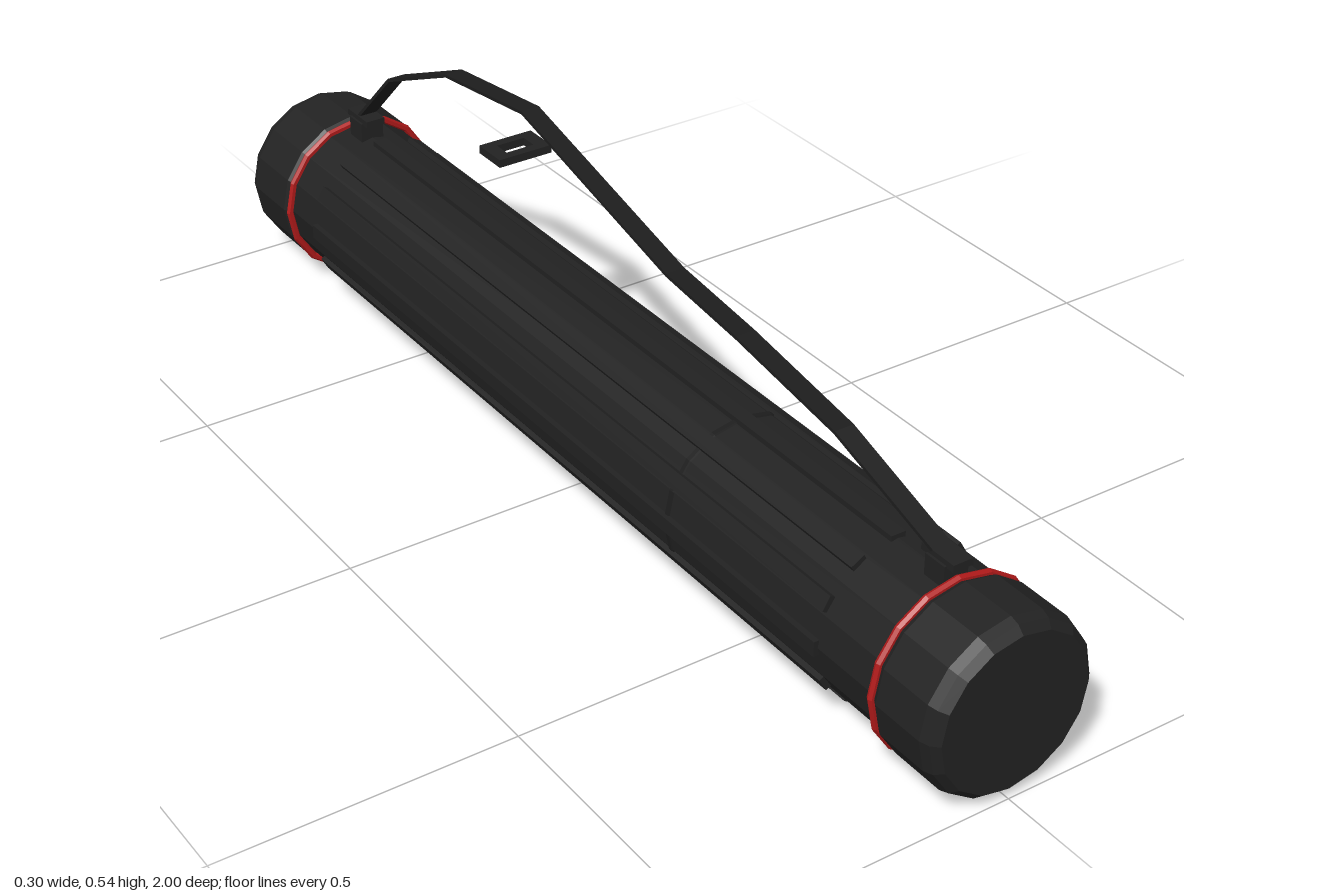
import * as THREE from 'three';

const AXIS_Y = 0.152;

export function createModel() {
  const model = new THREE.Group();
  const material = (name, color) => {
    const m = new THREE.MeshStandardMaterial({ color, flatShading: true });
    m.name = name;
    return m;
  };
  const black = material('black plastic', 0x222222);
  const dark = material('dark webbing', 0x1d1d1d);
  const red = material('red trim', 0xb01a1a);

  const add = (name, geometry, mat, x = 0, y = 0, z = 0, parent = model) => {
    const mesh = new THREE.Mesh(geometry, mat);
    mesh.name = name;
    mesh.position.set(x, y, z);
    parent.add(mesh);
    return mesh;
  };
  // Sixteen-sided solid along z, from [radius, z] points
  const turned = (points) => new THREE.LatheGeometry(
    points.map(([r, z]) => new THREE.Vector2(r, z)), 16).rotateX(Math.PI / 2);

  // Tube body and the seam where its two halves slide together
  add('tubeBody', turned([[0, -0.87], [0.138, -0.87], [0.138, 0.88], [0, 0.88]]), black, 0, AXIS_Y);
  add('seamRing', turned([[0.137, 0.345], [0.1405, 0.347], [0.1405, 0.355], [0.137, 0.357]]), dark, 0, AXIS_Y);

  // Lengthwise grip ribs
  const ribs = new THREE.Group();
  ribs.name = 'gripRibs';
  ribs.position.y = AXIS_Y;
  model.add(ribs);
  for (let i = 0; i < 12; i++) {
    const a = i * Math.PI / 6;
    const rib = add('rib', new THREE.BoxGeometry(0.026, 0.016, 1.49), black,
      Math.sin(a) * 0.137, Math.cos(a) * 0.137, -0.015, ribs);
    rib.rotation.z = -a;
  }

  // Chamfered end caps, red rings and strap lugs at both ends
  for (const [end, side, inner, lugZ] of [['front', 1, 0.867, 0.835], ['back', -1, 0.852, -0.807]]) {
    const cap = add(end + 'Cap', turned([[0, inner], [0.144, inner], [0.15, inner + 0.01],
      [0.15, 0.972], [0.145, 0.988], [0.133, 1], [0, 1]]), black, 0, AXIS_Y);
    if (side < 0) cap.rotation.y = Math.PI;
    add(end + 'RedRing', new THREE.TorusGeometry(0.1455, 0.0065, 6, 16), red, 0, AXIS_Y, side * (inner - 0.005));
    add(end + 'LugBase', new THREE.BoxGeometry(0.044, 0.04, 0.042), black, 0, 0.302, lugZ);
    add(end + 'LugPlate', new THREE.BoxGeometry(0.036, 0.012, 0.07), black, 0, 0.325, lugZ);
  }

  // Carrying strap: a thin rectangular section swept through the bend points
  const path = [[0, 0.325, 0.83], [-0.028, 0.43, 0.63], [-0.034, 0.473, 0.4], [0, 0.46, 0.17],
    [0.035, 0.534, -0.3], [0.031, 0.507, -0.54], [0.018, 0.43, -0.72], [0, 0.325, -0.81]];
  const hw = 0.017, ht = 0.003;
  const vertices = [], index = [];
  path.forEach(([x, y, z], i) => {
    const p = path[Math.max(i - 1, 0)], n = path[Math.min(i + 1, path.length - 1)];
    const dy = n[1] - p[1], dz = n[2] - p[2], l = Math.hypot(dy, dz);
    const ny = -dz / l * ht, nz = dy / l * ht;
    for (const [sx, sn] of [[-1, -1], [1, -1], [1, 1], [-1, 1]])
      vertices.push(x + sx * hw, y + sn * ny, z + sn * nz);
    if (i === 0) return;
    for (let k = 0; k < 4; k++) {
      const a = (i - 1) * 4 + k, b = (i - 1) * 4 + (k + 1) % 4;
      index.push(a, b, b + 4, a, b + 4, a + 4);
    }
  });
  const e = (path.length - 1) * 4;
  index.push(0, 2, 1, 0, 3, 2, e, e + 1, e + 2, e, e + 2, e + 3);
  // Corners run clockwise seen along the sweep, so flip the winding outward
  for (let i = 0; i < index.length; i += 3) [index[i + 1], index[i + 2]] = [index[i + 2], index[i + 1]];
  const strapGeometry = new THREE.BufferGeometry();
  strapGeometry.setAttribute('position', new THREE.Float32BufferAttribute(vertices, 3));
  strapGeometry.setIndex(index);
  strapGeometry.computeVertexNormals();
  dark.side = THREE.DoubleSide;
  add('strap', strapGeometry, dark);

  // Strap slider buckle: a flat frame with a slot
  const rect = (S, w, h) => {
    const s = new S();
    s.moveTo(-w, -h).lineTo(w, -h).lineTo(w, h).lineTo(-w, h).closePath();
    return s;
  };
  const frame = rect(THREE.Shape, 0.05, 0.032);
  frame.holes.push(rect(THREE.Path, 0.026, 0.015));
  const buckle = new THREE.ExtrudeGeometry(frame, { depth: 0.014, bevelEnabled: false }).rotateX(-Math.PI / 2);
  add('buckle', buckle, black, 0, 0.469, -0.292);

  return model;
}
